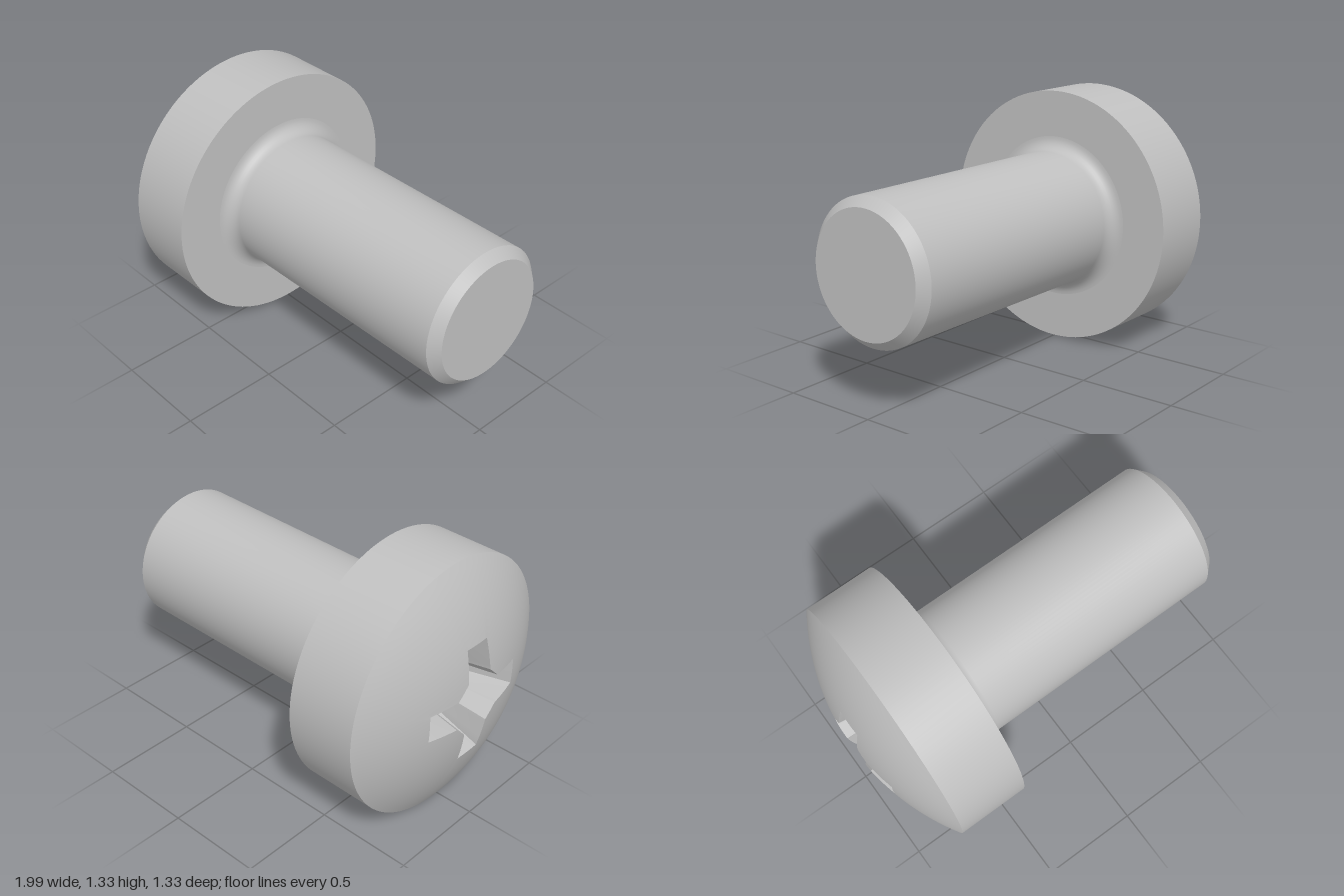
import * as THREE from 'three';
import { toCreasedNormals } from 'three/addons/utils/BufferGeometryUtils.js';

const SEG = 112; // lines up with the corners of the cross recess

// Skin a list of rings running along x; each ring is a function angle index -> [x, radius]
function loft(rings) {
  const pos = [], idx = [];
  for (const ring of rings) {
    for (let j = 0; j < SEG; j++) {
      const a = (j / SEG) * Math.PI * 2, [x, r] = ring(j);
      pos.push(x, r * Math.cos(a), r * Math.sin(a));
    }
  }
  for (let i = 0; i < rings.length - 1; i++) {
    for (let j = 0; j < SEG; j++) {
      const k = (j + 1) % SEG, a = i * SEG, b = a + SEG;
      if (rings[i](j)[1] > 0) idx.push(a + j, a + k, b + j);
      if (rings[i + 1](j)[1] > 0) idx.push(a + k, b + k, b + j);
    }
  }
  const g = new THREE.BufferGeometry();
  g.setAttribute('position', new THREE.Float32BufferAttribute(pos, 3));
  g.setIndex(idx);
  return toCreasedNormals(g, 0.45);
}

// Radius of a four-armed cross with chamfered inner corners at angle index j
function crossRadius(j, tip, inner) {
  const q = j % 28, m = Math.min(q, 28 - q); // steps from the nearest arm centre
  const step = (Math.PI * 2) / SEG, a = m * step;
  if (m <= 4) return tip / Math.cos(a);
  const polar = (r, s) => new THREE.Vector2(r * Math.cos(s * step), r * Math.sin(s * step));
  if (m >= 9) return inner * Math.cos((14 - 9) * step) / Math.cos((14 - m) * step);
  const p = polar(tip / Math.cos(4 * step), 4), d = polar(inner, 9).sub(p);
  return (p.x * d.y - p.y * d.x) / (Math.cos(a) * d.y - Math.sin(a) * d.x);
}

export function createModel() {
  const steel = new THREE.MeshStandardMaterial({ color: 0xbfbfbf });
  steel.name = 'grey steel';
  const model = new THREE.Group();
  model.name = 'screw';
  const add = (name, rings) => {
    const mesh = new THREE.Mesh(loft(rings), steel);
    mesh.name = name;
    model.add(mesh);
  };
  const circle = (x, r) => () => [x, r];

  const HEAD_R = 0.664, RIM_X = -0.803, BACK_X = -0.437, SHANK_R = 0.356, FILLET = 0.07;
  const drop = RIM_X + 1, R = (HEAD_R ** 2 + drop ** 2) / (2 * drop);
  const domeX = (r) => -1 + R - Math.sqrt(R * R - r * r);
  const mouth = (j) => crossRadius(j, 0.31, 0.165);

  // Tapered cross recess, from its pointed floor out to the dome
  add('crossRecess', [
    circle(-0.58, 0),
    (j) => [-0.64, crossRadius(j, 0.16, 0.11)],
    (j) => [domeX(mouth(j)), mouth(j)],
  ]);

  // Dome around the recess, then the straight rim and flat underside
  const head = [];
  for (let i = 0; i <= 12; i++) {
    head.push((j) => {
      const r = THREE.MathUtils.lerp(mouth(j), HEAD_R, i / 12);
      return [domeX(r), r];
    });
  }
  head.push(circle(BACK_X, HEAD_R), circle(BACK_X, SHANK_R + FILLET));
  add('head', head);

  // Shank with a fillet under the head and a chamfered end
  const shank = [];
  for (let i = 0; i <= 8; i++) {
    const t = (i / 8) * Math.PI / 2;
    shank.push(circle(BACK_X + FILLET * (1 - Math.cos(t)), SHANK_R + FILLET * (1 - Math.sin(t))));
  }
  shank.push(circle(0.945, SHANK_R), circle(0.995, 0.309), circle(0.995, 0));
  add('shank', shank);

  // The screw lies with its axis very slightly raised at the tip
  model.rotation.z = 0.0125;
  model.position.y = 0.679;
  return model;
}
